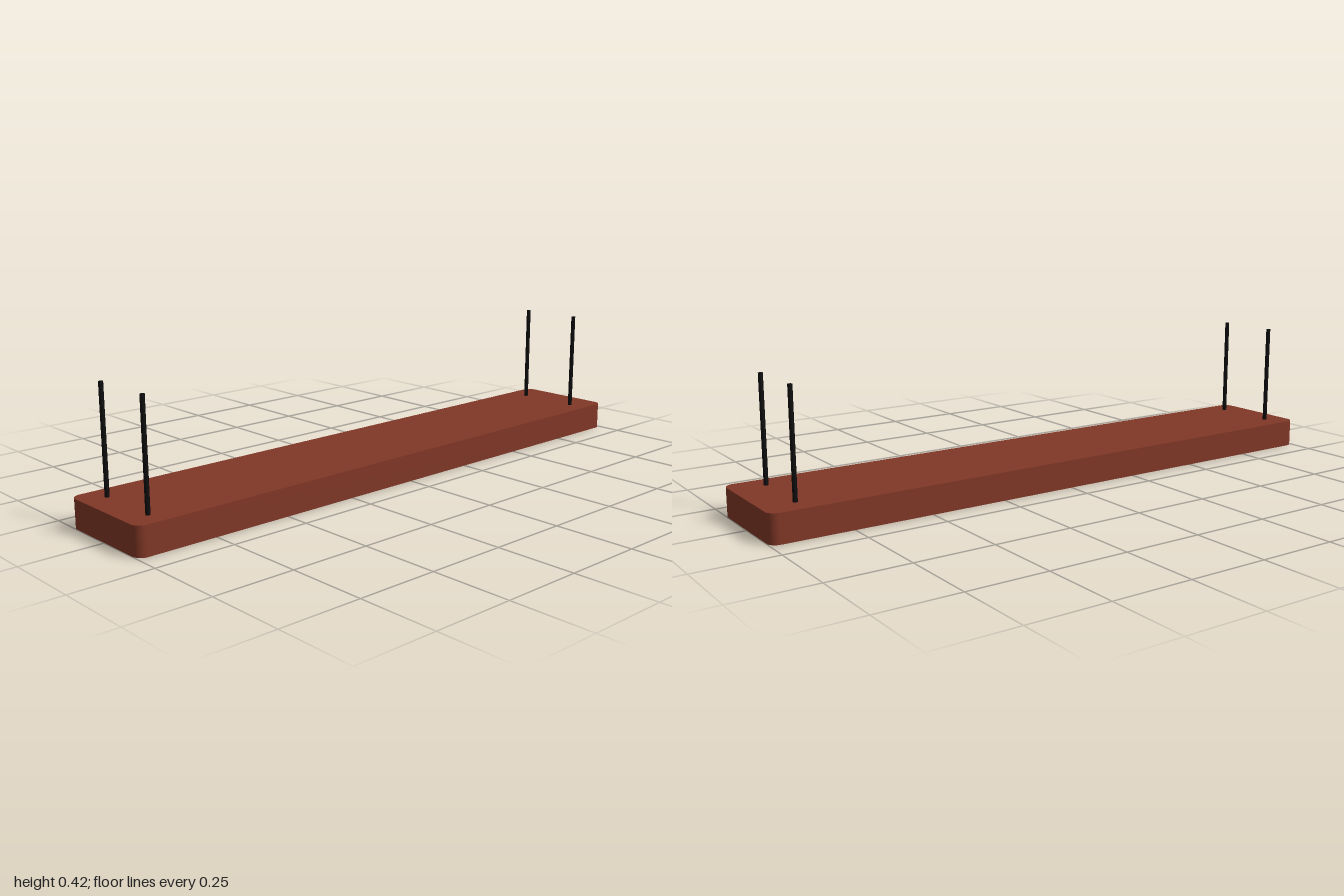
import * as THREE from 'three';

const wood = new THREE.MeshStandardMaterial({ color: 0x803726 });
wood.name = 'reddish brown wood';
const black = new THREE.MeshStandardMaterial({ color: 0x0b0b0b });
black.name = 'black cable';
const diffuser = new THREE.MeshStandardMaterial({ color: 0xccb09e });
diffuser.name = 'pale diffuser';

const HALF_X = 1, HALF_Z = 0.173, TOP = 0.09, LIFT = 0.001;

function roundedRect(hx, hz, r) {
  const s = new THREE.Shape();
  s.absarc(hx - r, hz - r, r, 0, Math.PI / 2);
  s.absarc(-hx + r, hz - r, r, Math.PI / 2, Math.PI);
  s.absarc(-hx + r, -hz + r, r, Math.PI, Math.PI * 1.5);
  s.absarc(hx - r, -hz + r, r, Math.PI * 1.5, Math.PI * 2);
  s.closePath();
  return s;
}

function add(group, name, geometry, material, x = 0, y = 0, z = 0) {
  const mesh = new THREE.Mesh(geometry, material);
  mesh.name = name;
  mesh.position.set(x, y, z);
  group.add(mesh);
}

export function createModel() {
  const model = new THREE.Group();
  model.name = 'hangingLamp';

  // Long beam with rounded vertical corners
  const beam = new THREE.ExtrudeGeometry(roundedRect(HALF_X, HALF_Z, 0.03), {
    depth: TOP - LIFT, bevelEnabled: false, curveSegments: 10,
  });
  beam.rotateX(-Math.PI / 2);
  add(model, 'beam', beam, wood, 0, LIFT, 0);

  // Two light panels set in the underside
  const panel = new THREE.BoxGeometry(0.914, 0.004, 0.23);
  add(model, 'leftLightPanel', panel, diffuser, 0.473, 0.002, 0);
  add(model, 'rightLightPanel', panel, diffuser, -0.477, 0.002, 0);

  // Four suspension cables
  const bottom = TOP - 0.01, top = 0.42;
  const cable = new THREE.CylinderGeometry(0.007, 0.007, top - bottom, 16);
  for (const [side, x] of [['left', 0.895], ['right', -0.925]]) {
    for (const [end, z] of [['Front', 0.107], ['Back', -0.101]]) {
      add(model, `${side}${end}Cable`, cable, black, x, (top + bottom) / 2, z);
    }
  }
  return model;
}
